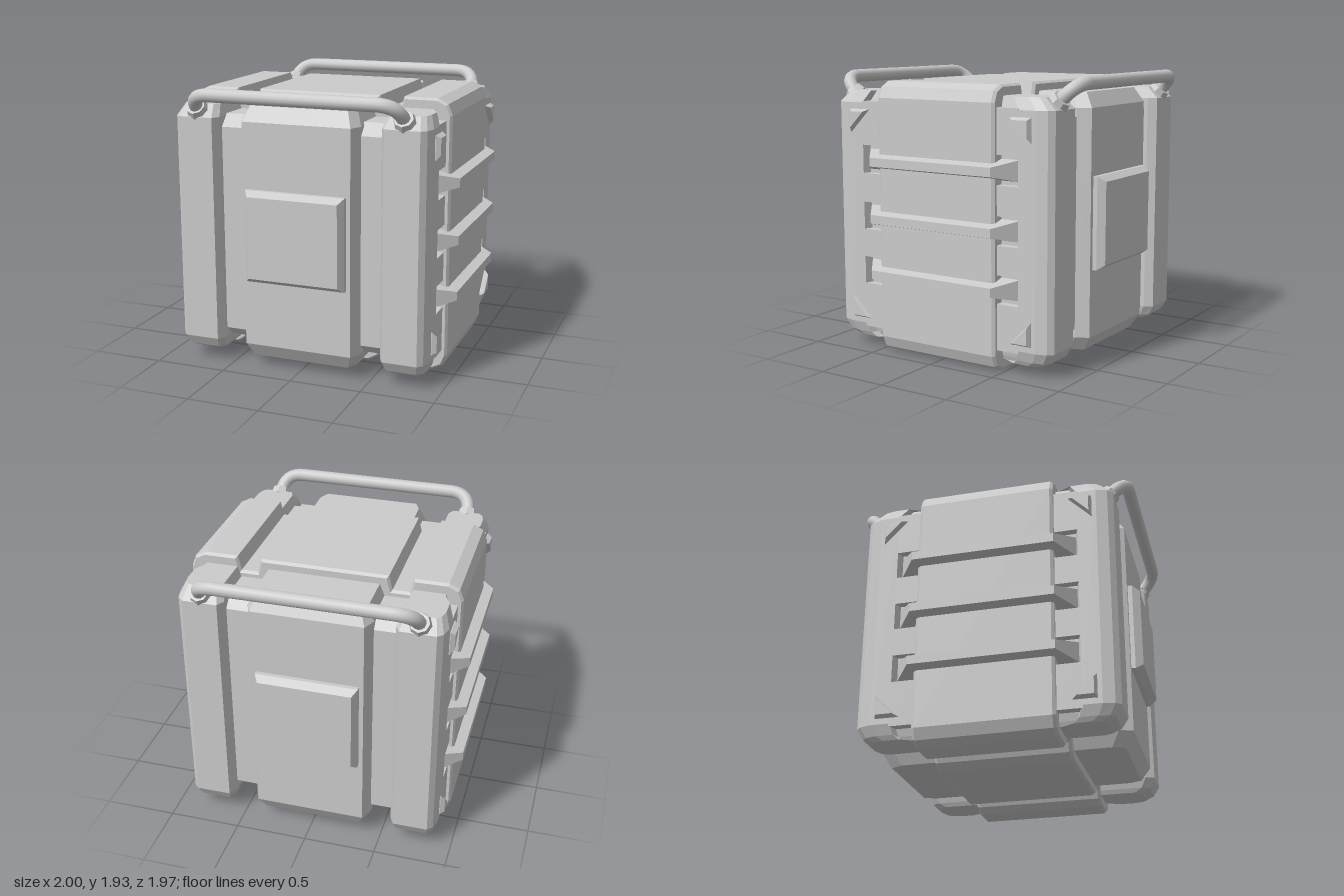
import * as THREE from 'three';

const grey = new THREE.MeshStandardMaterial({ color: 0xcccccc, flatShading: true });
const smooth = new THREE.MeshStandardMaterial({ color: 0xcccccc });

// Solid from an [x, z] outline stacked at levels [y, scaleX, scaleZ] around an anchor
function loft(outline, levels, [ax, az] = [0, 0]) {
  const pts = outline.map(([x, z]) => new THREE.Vector2(x, z));
  if (THREE.ShapeUtils.isClockWise(pts)) pts.reverse();
  const n = pts.length, pos = [], index = [];
  for (const [y, sx, sz] of levels)
    for (const p of pts) pos.push(ax + (p.x - ax) * sx, y, az + (p.y - az) * sz);
  const last = levels.length - 1, base = n * last, c = n * levels.length;
  pos.push(ax, levels[0][0], az, ax, levels[last][0], az);
  for (let i = 0; i < n; i++) {
    const j = (i + 1) % n;
    for (let k = 0; k < last; k++) {
      const a = k * n + i, b = k * n + j;
      index.push(a, a + n, b, b, a + n, b + n);
    }
    index.push(c, i, j, c + 1, base + j, base + i);
  }
  const g = new THREE.BufferGeometry();
  g.setAttribute('position', new THREE.Float32BufferAttribute(pos, 3));
  g.setIndex(index);
  const flat = g.toNonIndexed();
  flat.computeVertexNormals();
  return flat;
}

// Rectangle outline with cut corners
const rect = (w, d, cx = 0, cz = 0) => cx
  ? [[w, d - cz], [w - cx, d], [cx - w, d], [-w, d - cz], [-w, cz - d], [cx - w, -d], [w - cx, -d], [w, cz - d]]
  : [[w, d], [-w, d], [-w, -d], [w, -d]];

export function createModel() {
  const model = new THREE.Group();
  const add = (name, geometry, material = grey) => {
    const mesh = new THREE.Mesh(geometry, material);
    mesh.name = name;
    model.add(mesh);
    return mesh;
  };

  // Recessed core seen in the vertical grooves
  add('core', loft(rect(0.8, 0.78),
    [[0.16, 0.95, 0.9], [0.23, 1, 1], [1.65, 1, 1], [1.73, 0.95, 0.9]]));

  // Front and back centre panels, one block running through
  add('centrePanel', loft(rect(0.42, 0.87, 0.04, 0.09),
    [[0.07, 0.9, 0.93], [0.17, 1, 1], [1.71, 1, 1], [1.81, 0.9, 0.93]]));

  // Wide middle band with grooves along its top and bottom
  const half = [
    [0.37, 0], [0.44, 0.04], [0.465, 0.1], [0.555, 0.1], [0.58, 0.04], [0.64, 0], [0.83, 0],
    [0.9, 0.035], [0.93, 0.11], [0.93, 1.76], [0.9, 1.835], [0.83, 1.87], [0.6, 1.87],
    [0.575, 1.77], [0.46, 1.77], [0.435, 1.87]];
  const outline = [...half, ...half.map(([x, y]) => [-x, y]).reverse()];
  const bandShape = new THREE.Shape(outline.map(([x, y]) => new THREE.Vector2(x, y)));
  const band = new THREE.ExtrudeGeometry(bandShape, {
    depth: 0.9, bevelEnabled: true, bevelSegments: 1,
    bevelThickness: 0.02, bevelSize: 0.015, bevelOffset: -0.015 });
  band.translate(0, 0, -0.45);
  add('middleBand', band);

  for (const s of [1, -1]) {
    // Front and back raised plates
    const plate = add('facePlate', loft(rect(0.35, 0.315),
      [[0.84, 1, 1], [0.9, 1, 1], [0.95, 0.91, 0.89]]));
    plate.rotation.x = s * Math.PI / 2;
    plate.position.y = 0.945;

    // Side ribs, tapering outward
    for (const y of [0.555, 0.94, 1.33]) {
      const rib = add('sideRib', loft(rect(0.07, 0.61), [[0.84, 1, 1], [1, 0.43, 0.8]]));
      rib.rotation.z = -s * Math.PI / 2;
      rib.position.y = y;
    }

    // Carrying handle with bent ends, leaning out at 45 degrees
    const at = (x, t) => new THREE.Vector3(x, 1.74 + t, s * (0.8 + t));
    const path = new THREE.CurvePath();
    path.add(new THREE.LineCurve3(at(-0.73, 0), at(-0.72, 0.06)));
    path.add(new THREE.QuadraticBezierCurve3(at(-0.72, 0.06), at(-0.7, 0.14), at(-0.58, 0.142)));
    path.add(new THREE.LineCurve3(at(-0.58, 0.142), at(0.58, 0.142)));
    path.add(new THREE.QuadraticBezierCurve3(at(0.58, 0.142), at(0.7, 0.14), at(0.72, 0.06)));
    path.add(new THREE.LineCurve3(at(0.72, 0.06), at(0.73, 0)));
    add('handle', new THREE.TubeGeometry(path, 80, 0.046, 12), smooth);

    for (const f of [1, -1]) {
      // Corner columns, chamfered and stepped in beside the band
      const column = [[0.57, 0.3], [0.57, 0.81], [0.6, 0.87], [0.84, 0.87], [0.875, 0.835],
        [0.895, 0.76], [0.895, 0.63], [0.84, 0.61], [0.84, 0.3]];
      add('cornerColumn', loft(column.map(([x, z]) => [s * x, f * z]),
        [[0.07, 0.78, 0.83], [0.1, 0.87, 0.93], [0.17, 1, 1], [1.72, 1, 1], [1.8, 0.8, 0.85]],
        [s * 0.72, f * 0.3]));

      // Column side faces between the rib pockets
      for (const [y0, y1] of [[0.15, 0.46], [0.65, 0.845], [1.035, 1.235], [1.43, 1.73]]) {
        const pad = add('columnSide', new THREE.BoxGeometry(0.1, y1 - y0, 0.18));
        pad.position.set(s * 0.845, (y0 + y1) / 2, f * 0.545);
      }

      // Raised triangles in the side corners
      for (const [edge, dir] of [[1.675, -1], [0.21, 1]]) {
        const tri = [[edge, 0.73], [edge, 0.57], [edge + dir * 0.16, 0.73]];
        const corner = add('cornerTriangle', loft(tri.map(([y, z]) => [-s * y, f * z]),
          [[0.86, 1, 1], [0.9, 1, 1], [0.93, 0.7, 0.7]], [-s * (edge + dir * 0.053), f * 0.677]));
        corner.rotation.z = -s * Math.PI / 2;
      }

      // Handle collars
      const collar = add('handleCollar', new THREE.CylinderGeometry(0.065, 0.08, 0.06, 8));
      collar.position.set(f * 0.725, 1.77, s * 0.83);
      collar.rotation.x = s * Math.PI / 4;
    }
  }
  return model;
}
